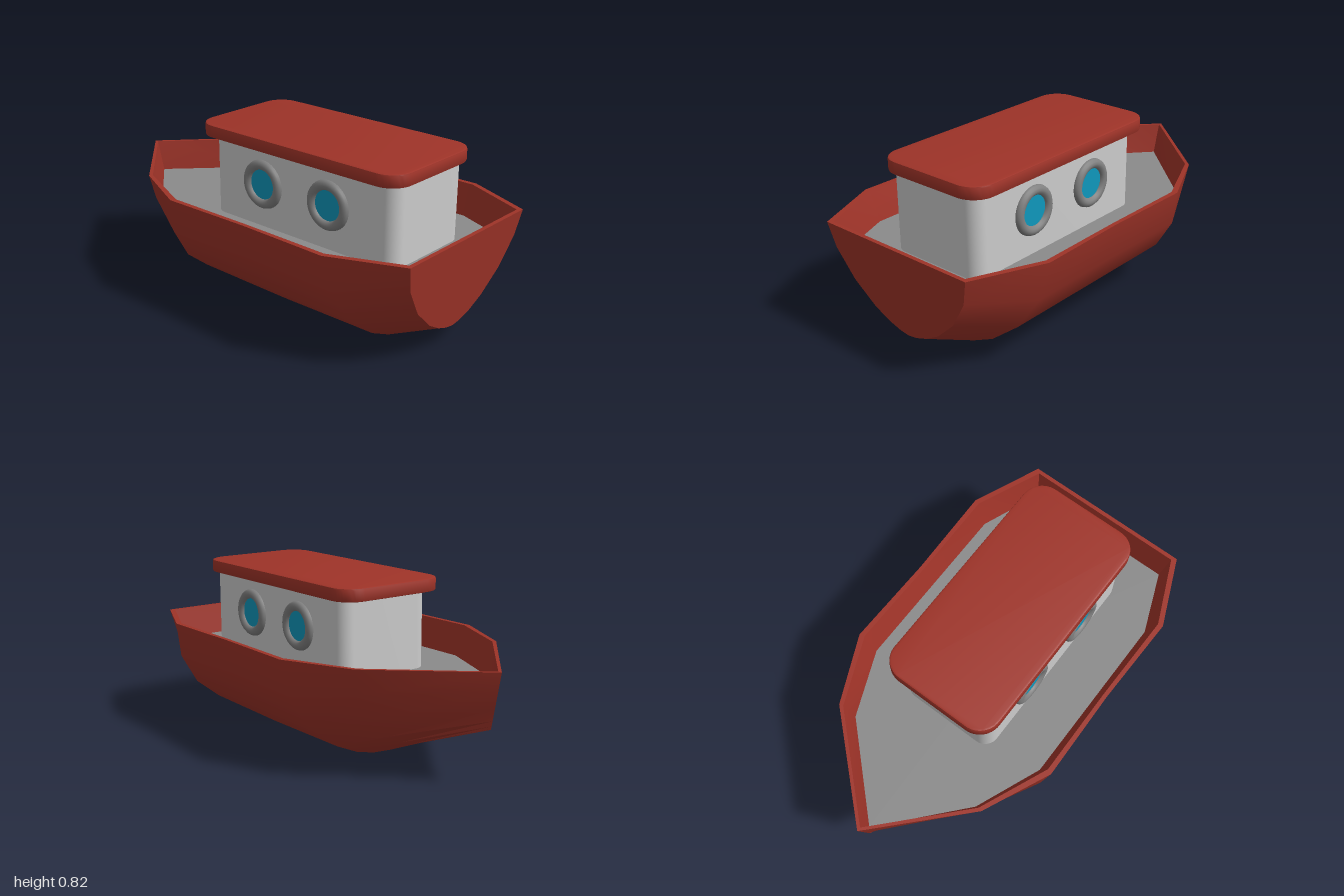
import * as THREE from 'three';
import { toCreasedNormals } from 'three/addons/utils/BufferGeometryUtils.js';

const mat = (color) => new THREE.MeshStandardMaterial({ color });
const red = mat(0x9e3328), grey = mat(0xcccccc), deckGrey = mat(0x8a8a8a), ringGrey = mat(0x808080), blue = mat(0x1098bd);

function add(parent, name, geometry, material) {
  const mesh = new THREE.Mesh(geometry, material);
  mesh.name = name;
  parent.add(mesh);
  return mesh;
}

// Skin between successive rows of points
function loft(rows, crease) {
  const n = rows[0].length, index = [];
  for (let i = 0; i < rows.length - 1; i++) {
    for (let j = 0; j < n - 1; j++) {
      const a = i * n + j, b = a + n, c = a + 1, d = b + 1;
      index.push(a, c, b, b, c, d);
    }
  }
  const g = new THREE.BufferGeometry();
  g.setAttribute('position', new THREE.Float32BufferAttribute(rows.flat(2), 3));
  g.setIndex(index);
  return toCreasedNormals(g, crease);
}

// Vertical slab with rounded corners, its base at y = 0
function roundedSlab(w, d, r, h, bevel) {
  const x = w / 2 - bevel, y = d / 2 - bevel;
  const s = new THREE.Shape();
  s.moveTo(-x + r, -y);
  s.lineTo(x - r, -y);
  s.absarc(x - r, -y + r, r, -Math.PI / 2, 0);
  s.absarc(x - r, y - r, r, 0, Math.PI / 2);
  s.absarc(-x + r, y - r, r, Math.PI / 2, Math.PI);
  s.absarc(-x + r, -y + r, r, Math.PI, Math.PI * 1.5);
  const g = new THREE.ExtrudeGeometry(s, {
    depth: h - 2 * bevel, bevelEnabled: bevel > 0, bevelSize: bevel,
    bevelThickness: bevel, bevelSegments: 2, curveSegments: 6,
  });
  g.translate(0, 0, bevel).rotateX(-Math.PI / 2);
  return toCreasedNormals(g, 0.5);
}

const RIM_Y = 0.53, DECK_Y = 0.38, BOW_Z = 0.03;

// Hull stations, bow to stern: rim x, half width, keel x, keel y, section sharpness
const stations = [
  [-1, 0, -0.95, 0.27, 1],
  [-0.59, 0.42, -0.55, 0.11, 1.15],
  [-0.26, 0.57, -0.33, 0.015, 1],
  [0.2, 0.56, 0.2, 0.004, 1],
  [0.66, 0.57, 0.74, 0.015, 1],
  [1, 0.425, 0.94, 0.09, 1.2],
];
const half = [0, 20, 40, 58, 70, 80, 90];
const angles = [...half, ...half.slice(0, -1).reverse().map((a) => 180 - a)];

function section([x, w, keelX, keelY, p]) {
  return angles.map((deg) => {
    const t = THREE.MathUtils.degToRad(deg);
    const down = Math.pow(Math.sin(t), p);
    const side = Math.sign(90 - deg) * Math.pow(Math.abs(Math.cos(t)), p);
    return [x + (keelX - x) * down, RIM_Y + (keelY - RIM_Y) * down, w * side + (w === 0 ? BOW_Z : 0)];
  });
}

// Closed outline from a half outline listed bow to stern
function outline(points, y) {
  const port = points.map(([x, w]) => [x, y, w || BOW_Z]);
  const starboard = points.map(([x, w]) => [x, y, w ? -w : BOW_Z]).reverse();
  return [...port, ...starboard];
}

export function createModel() {
  const boat = new THREE.Group();
  boat.name = 'boat';

  // Hull shell and flat stern
  const sections = stations.map(section);
  add(boat, 'hull', loft(sections, 0.75), red);
  const stern = sections[sections.length - 1];
  add(boat, 'transom', loft([stern.slice(0, 7), stern.slice(6).reverse()], 0.5), red);

  // Rim, sloping inner wall and deck
  const outer = outline(stations, RIM_Y);
  const inner = outline([[-0.98, 0], [-0.585, 0.4], [-0.25, 0.545], [0.2, 0.54], [0.655, 0.545], [0.98, 0.405]], RIM_Y);
  const deckEdge = outline([[-0.94, 0], [-0.565, 0.365], [-0.24, 0.5], [0.2, 0.5], [0.645, 0.5], [0.95, 0.38]], DECK_Y);
  add(boat, 'bulwark', loft([outer, inner, deckEdge], 0.5), red);
  add(boat, 'deck', loft([deckEdge, deckEdge.map(() => [0.2, DECK_Y, 0])], 0.5), deckGrey);

  // Cabin and roof
  const cabin = new THREE.Group();
  cabin.name = 'cabin';
  cabin.position.z = -0.013;
  boat.add(cabin);
  add(cabin, 'cabinWalls', roundedSlab(1.09, 0.515, 0.07, 0.39, 0), grey).position.set(0.235, DECK_Y, 0);
  add(cabin, 'roof', roundedSlab(1.195, 0.59, 0.1, 0.062, 0.008), red).position.set(0.213, 0.758, 0);

  // Portholes on both sides
  for (const side of [1, -1]) {
    for (const x of [0.022, 0.418]) {
      const porthole = new THREE.Group();
      porthole.name = 'porthole';
      porthole.position.set(x, 0.59, side * 0.2575);
      if (side < 0) porthole.rotation.y = Math.PI;
      cabin.add(porthole);
      add(porthole, 'portholeRing', new THREE.TorusGeometry(0.094, 0.024, 12, 40), ringGrey);
      add(porthole, 'portholeGlass', new THREE.CylinderGeometry(0.09, 0.09, 0.012, 40).rotateX(Math.PI / 2), blue);
    }
  }
  return boat;
}
